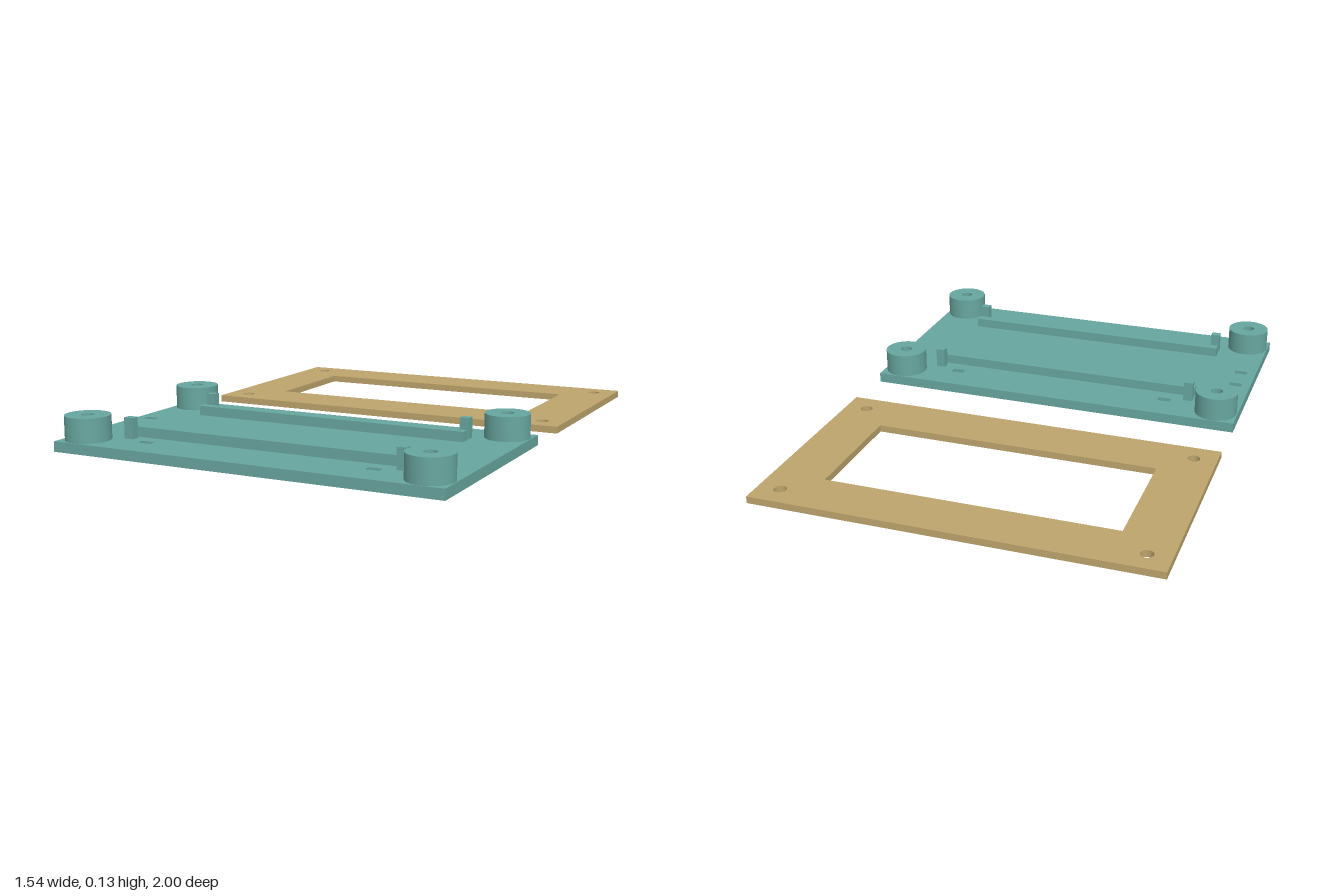
import * as THREE from 'three';
import { toCreasedNormals } from 'three/addons/utils/BufferGeometryUtils.js';

const teal = new THREE.MeshStandardMaterial({ name: 'teal plastic', color: 0x68a69f });
const tan = new THREE.MeshStandardMaterial({ name: 'tan plastic', color: 0xbda46c });

const HALF_X = 0.77, DEPTH = 0.885, MID_Z = 0.5575;
const SCREW_X = 0.681, SCREW_Z = 0.355, SCREW_R = 0.024;
const BASE_H = 0.039;

// Outlines are drawn in plan: shape x is x, shape y is z
function rectangle(path, cx, cz, w, d) {
  path.moveTo(cx - w / 2, cz - d / 2);
  path.lineTo(cx + w / 2, cz - d / 2);
  path.lineTo(cx + w / 2, cz + d / 2);
  path.lineTo(cx - w / 2, cz + d / 2);
  path.closePath();
  return path;
}

function circle(path, cx, cz, r) {
  path.absarc(cx, cz, r, 0, Math.PI * 2, false);
  return path;
}

// Extrudes a plan outline upward from y0 to y1
function slab(name, shape, y0, y1, material) {
  const geo = new THREE.ExtrudeGeometry(shape, { depth: y1 - y0, bevelEnabled: false, curveSegments: 24 });
  geo.rotateX(Math.PI / 2).translate(0, y1, 0);
  const mesh = new THREE.Mesh(toCreasedNormals(geo, 0.5), material);
  mesh.name = name;
  return mesh;
}

function box(name, x, z, w, d, top) {
  const mesh = new THREE.Mesh(new THREE.BoxGeometry(w, top - BASE_H, d), teal);
  mesh.position.set(x, (top + BASE_H) / 2, z);
  mesh.name = name;
  return mesh;
}

// Calls fn for the four corners
function corners(fn) {
  for (const sx of [-1, 1]) for (const sz of [-1, 1]) fn(sx, sz);
}

function plateShape() {
  const shape = rectangle(new THREE.Shape(), 0, 0, HALF_X * 2, DEPTH);
  corners((sx, sz) => shape.holes.push(circle(new THREE.Path(), sx * SCREW_X, sz * SCREW_Z, SCREW_R)));
  return shape;
}

export function createModel() {
  const model = new THREE.Group();
  model.name = 'displayMount';

  // Flat bezel with its window
  const bezelShape = plateShape();
  bezelShape.holes.push(rectangle(new THREE.Path(), -0.002, -0.004, 1.128, 0.472));
  const bezel = slab('bezelFrame', bezelShape, 0, 0.027, tan);
  bezel.position.z = -MID_Z;
  model.add(bezel);

  // Base tray
  const base = new THREE.Group();
  base.name = 'baseTray';
  base.position.z = MID_Z;
  model.add(base);

  // Floor with tie slots near the corners and two at the right edge
  const floor = plateShape();
  const slot = (x, z) => floor.holes.push(rectangle(new THREE.Path(), x, z, 0.053, 0.03));
  corners((sx, sz) => slot(sx * 0.458, sz * 0.308));
  for (const z of [-0.066, 0.065]) slot(-0.707, z);
  base.add(slab('basePlate', floor, 0, BASE_H, teal));

  // Screw bosses and end posts
  corners((sx, sz) => {
    const boss = circle(new THREE.Shape(), sx * SCREW_X, sz * SCREW_Z, 0.085);
    boss.holes.push(circle(new THREE.Path(), sx * SCREW_X, sz * SCREW_Z, SCREW_R));
    base.add(slab('screwBoss', boss, BASE_H, 0.131, teal));
    base.add(box('endPost', sx * 0.55, sz * 0.273, 0.037, 0.032, 0.118));
  });

  // Long support rails
  for (const sz of [-1, 1]) base.add(box('supportRail', 0, sz * 0.222, 1.136, 0.037, 0.077));

  return model;
}
